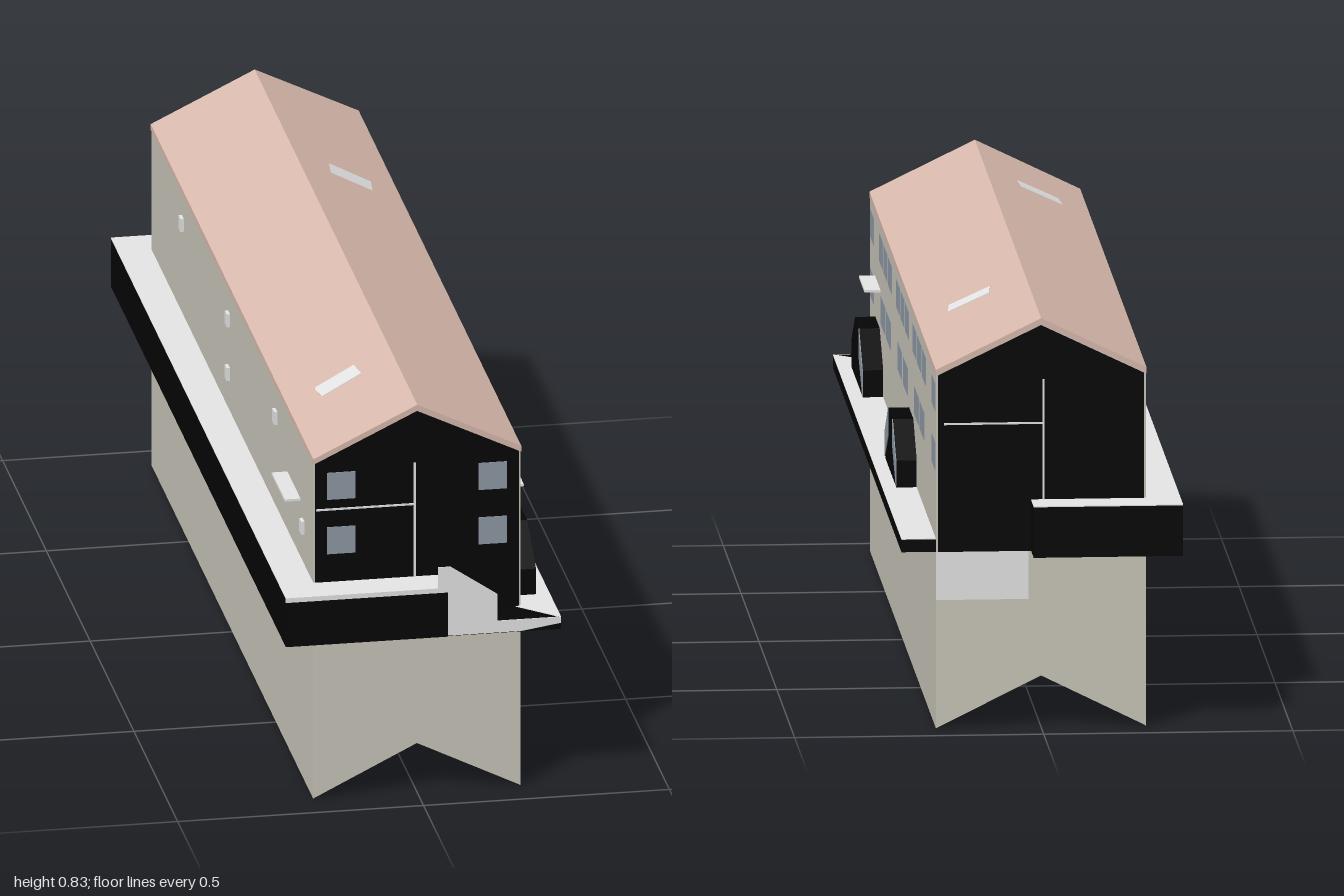
import * as THREE from 'three';

export function createModel() {
  const model = new THREE.Group();
  model.name = 'longHouse';
  const mat = (name, color) => {
    const m = new THREE.MeshStandardMaterial({ color });
    m.name = name;
    return m;
  };
  const plaster = mat('plaster', 0xcac7ba);
  const black = mat('black', 0x050505);
  const light = mat('lightStone', 0xe6e6e6);
  const tile = mat('roofTile', 0xdabbae);
  const glass = mat('glass', 0x8f9ba6);

  const add = (name, geo, material) => {
    const mesh = new THREE.Mesh(geo, material);
    mesh.name = name;
    model.add(mesh);
    return mesh;
  };
  // box given by its limits on each axis
  const box = (name, m, x0, x1, y0, y1, z0, z1) =>
    add(name, new THREE.BoxGeometry(x1 - x0, y1 - y0, z1 - z0)
      .translate((x0 + x1) / 2, (y0 + y1) / 2, (z0 + z1) / 2), m);
  const extrude = (pts, depth) => new THREE.ExtrudeGeometry(
    new THREE.Shape(pts.map(p => new THREE.Vector2(...p))), { depth, bevelEnabled: false });
  // prisms from (x,y), (z,y) and (x,z) outlines
  const alongZ = (name, m, pts, z0, z1) =>
    add(name, extrude(pts, z1 - z0).translate(0, 0, z0), m);
  const alongX = (name, m, pts, x0, x1) =>
    add(name, extrude(pts, x1 - x0).rotateY(-Math.PI / 2).translate(x1, 0, 0), m);
  const alongY = (name, m, pts, y0, y1) =>
    add(name, extrude(pts, y1 - y0).rotateX(Math.PI / 2).translate(0, y1, 0), m);

  // hollow body, open below: end walls notched at the foot, dark above the terrace
  const endWall = [[-0.211, 0], [0, 0.105], [0.211, 0], [0.211, 0.72], [0, 0.822], [-0.211, 0.72]];
  const gable = [[-0.207, 0.36], [0.207, 0.36], [0.207, 0.72], [0, 0.82], [-0.207, 0.72]];
  for (const s of [1, -1]) {
    const at = (a, b) => [Math.min(s * a, s * b), Math.max(s * a, s * b)];
    box('sideWall', plaster, ...at(0.209, 0.211), 0, 0.722, -0.923, 0.923);
    alongZ('endWall', plaster, endWall, ...at(0.922, 0.924));
    alongZ('gableWall', black, gable, ...at(0.924, 0.926));
    box('gablePost', light, -0.007, -0.003, 0.465, 0.71, ...at(0.926, 0.928));
    const x0 = s > 0 ? -0.206 : -0.005;
    box('gableRail', light, x0, x0 + 0.2, 0.619, 0.623, ...at(0.926, 0.928));
  }

  // roof
  alongZ('roof', tile, [[-0.2115, 0.72], [0, 0.822], [0.2115, 0.72],
    [0.2115, 0.732], [0, 0.835], [-0.2115, 0.732]], -0.929, 0.929);
  for (const s of [1, -1]) {
    const pane = add('skylight', new THREE.BoxGeometry(0.092, 0.003, 0.055).rotateY(-0.12 * s), light);
    pane.position.set(s * 0.11, 0.7812, s > 0 ? -0.45 : 0.64);
    pane.rotation.z = -s * Math.atan2(0.103, 0.2115);
  }

  // windows in front gable
  for (const s of [1, -1]) for (const y of [0.525, 0.642]) {
    const x = s * 0.154;
    box('frontWindow', glass, x - 0.029, x + 0.029, y, y + 0.058, 0.925, 0.9275);
  }

  // windows in long left wall, narrow and wide by centre z
  const rows = [
    [0.645, [0.855, 0.604, 0.476, 0.348, 0.133, 0.008, -0.126, -0.337, -0.465, -0.596, -0.866], []],
    [0.525, [0.855, -0.866], [0.55, 0.395, 0.08, -0.075, -0.39, -0.545]],
  ];
  for (const [y, narrow, wide] of rows) {
    for (const z of narrow) box('sideWindow', glass, 0.21, 0.212, y, y + 0.057, z - 0.05, z + 0.05);
    for (const z of wide) box('sideWindow', glass, 0.21, 0.212, y, y + 0.057, z - 0.0615, z + 0.0615);
  }

  // canopies
  for (const s of [1, -1]) {
    box('canopy', light, Math.min(s * 0.21, s * 0.243), Math.max(s * 0.21, s * 0.243),
      0.585, 0.59, 0.63, 0.78);
  }

  // wall lamps
  for (const [y, z] of [[0.66, -0.565], [0.66, -0.036], [0.66, 0.505], [0.544, -0.036], [0.544, 0.815]]) {
    box('wallLamp', light, -0.218, -0.21, y - 0.014, y + 0.014, z - 0.011, z + 0.011);
  }

  // high terrace wrapping the right side and both ends
  const high = [[-0.28, -1], [0.02, -1], [0.02, -0.925], [-0.21, -0.925],
    [-0.21, 0.925], [0.05, 0.925], [0.05, 0.998], [-0.28, 0.998]];
  alongY('highTerraceBase', black, high, 0.36, 0.463);
  alongY('highTerracePaving', light, high, 0.463, 0.465);
  box('highTerraceFront', black, -0.28, 0.05, 0.36, 0.455, 0.998, 1);
  box('highTerraceEdge', light, -0.28, 0.05, 0.455, 0.465, 0.998, 1);
  box('rearBasePanel', light, 0.025, 0.211, 0.262, 0.36, -0.926, -0.924);

  // low terrace with mitred front corner
  const low = [[0.208, -0.923], [0.28, -0.923], [0.28, 1], [0.2, 0.926]];
  alongY('lowTerraceBase', black, low, 0.36, 0.3855);
  alongY('lowTerracePaving', light, low, 0.3855, 0.387);

  // front steps and parapet
  alongZ('frontSteps', black,
    [[0.05, 0.36], [0.28, 0.36], [0.28, 0.38], [0.15, 0.382], [0.05, 0.46]], 0.926, 0.997);
  const parapet = [[0.03, 0.465], [0.05, 0.46], [0.05, 0.362], [0.2, 0.362], [0.28, 0.374],
    [0.28, 0.387], [0.15, 0.387], [0.15, 0.445], [0.055, 0.51], [0.03, 0.51]];
  alongZ('stepParapetBack', black, parapet, 0.9965, 0.998);
  alongZ('stepParapet', light, parapet, 0.998, 1);

  // double stair porches on the left side
  for (const [zc, half, sides] of [[0.71, 0.16, [-1]], [-0.233, 0.155, [1, -1]]]) {
    const t = 0.06;
    alongX('stairPorch', black, [[zc - half, 0.387], [zc + half, 0.387], [zc + half, 0.442],
      [zc + t, 0.508], [zc - t, 0.508], [zc - half, 0.442]], 0.21, 0.252);
    for (const s of sides) {
      const pts = [[zc + s * half, 0.39], [zc + s * half, 0.442], [zc + s * t, 0.508], [zc + s * t, 0.45]];
      alongX('stairGlass', glass, pts, 0.2515, 0.2535);
    }
  }
  return model;
}
